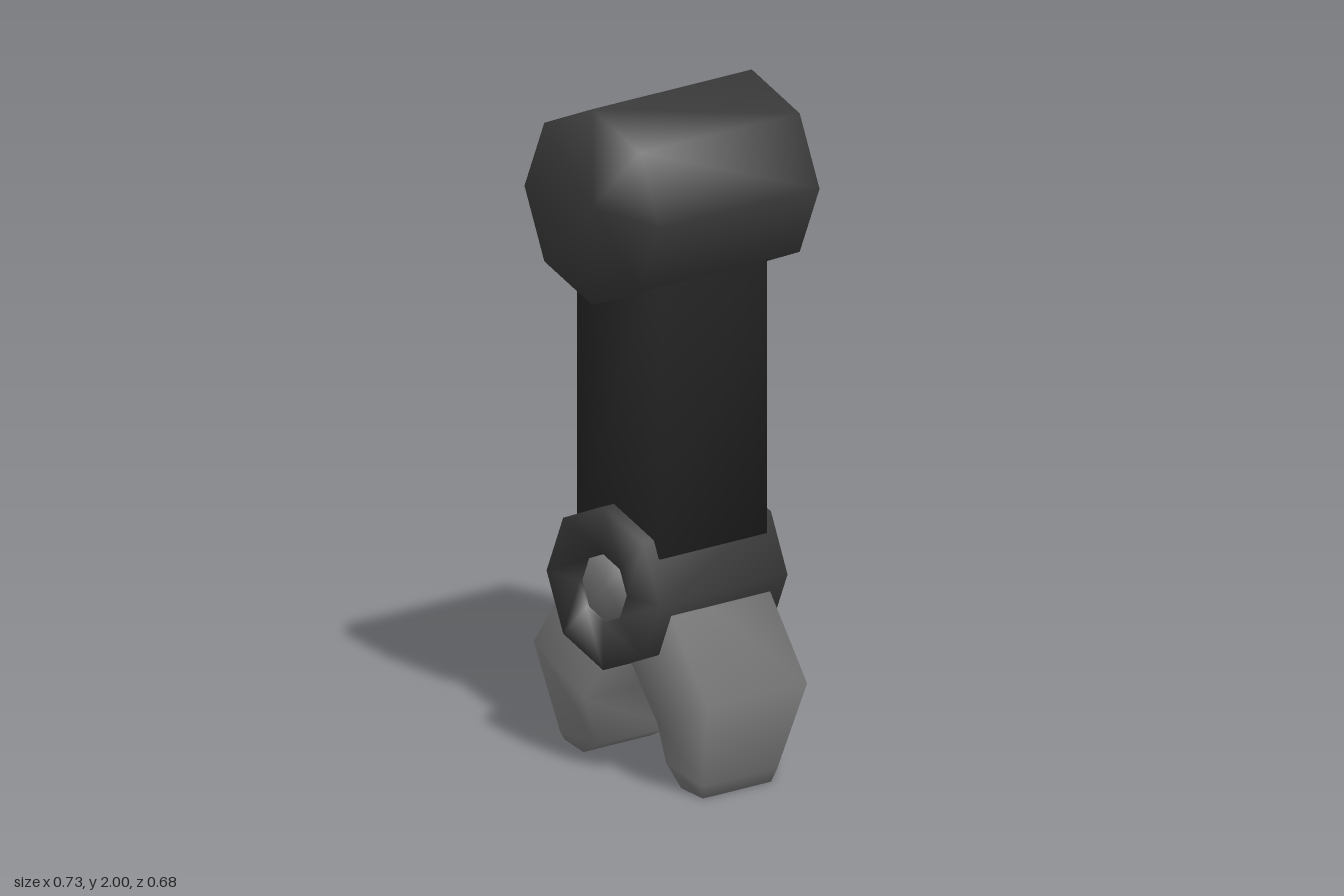
import * as THREE from 'three';
import { mergeVertices } from 'three/addons/utils/BufferGeometryUtils.js';

const paint = (color) => new THREE.MeshStandardMaterial({ color });
const black = paint(0x222222);
const dark = paint(0x3a3a3a);
const grey = paint(0x777777);

// Weld all corners so shading runs smoothly over the low-poly form
function soften(geometry) {
  geometry.deleteAttribute('uv');
  geometry.deleteAttribute('normal');
  const welded = mergeVertices(geometry, 1e-4);
  welded.computeVertexNormals();
  return welded;
}

// Eight-sided drum lying along z
function drum(radius, z0, z1) {
  const g = new THREE.CylinderGeometry(radius, radius, z1 - z0, 8);
  return soften(g.rotateX(Math.PI / 2).translate(0, 0, (z0 + z1) / 2));
}

// Eight-sided ring lying along z
function ring(outer, inner, z0, z1) {
  const h = (z1 - z0) / 2;
  const profile = [[inner, -h], [outer, -h], [outer, h], [inner, h], [inner, -h]]
    .map(([r, y]) => new THREE.Vector2(r, y));
  const g = new THREE.LatheGeometry(profile, 8);
  return soften(g.rotateX(Math.PI / 2).translate(0, 0, (z0 + z1) / 2));
}

// Finger lofted through sections [outerX, outerY, innerX, innerY, halfDepth]
function finger(sections, side) {
  const pos = [], idx = [];
  for (const [ox, oy, ix, iy, d] of sections) {
    const z = d * side;
    pos.push(ox, oy, z, ox, oy, -z, ix, iy, -z, ix, iy, z);
  }
  const last = (sections.length - 1) * 4;
  for (let s = 0; s < last; s += 4) {
    for (let k = 0; k < 4; k++) {
      const a = s + k, b = s + (k + 1) % 4;
      idx.push(a, a + 4, b + 4, a, b + 4, b);
    }
  }
  idx.push(0, 1, 2, 0, 2, 3);
  idx.push(last, last + 2, last + 1, last, last + 3, last + 2);
  const g = new THREE.BufferGeometry();
  g.setAttribute('position', new THREE.Float32BufferAttribute(pos, 3));
  g.setIndex(idx);
  g.computeVertexNormals();
  return g;
}

export function createModel() {
  const model = new THREE.Group();
  model.name = 'gripperArm';

  function add(name, geometry, material, x = 0, y = 0, z = 0) {
    const mesh = new THREE.Mesh(geometry, material);
    mesh.name = name;
    mesh.position.set(x, y, z);
    model.add(mesh);
  }

  // Shoulder drum with the pivot stub on its back
  add('shoulder', drum(0.287, -0.26, 0.34), dark, 0.007, 1.713);
  add('shoulderPivot', drum(0.136, -0.34, -0.24), grey, 0.009, 1.715);

  // Square arm between shoulder and wrist
  add('arm', soften(new THREE.BoxGeometry(0.355, 0.9, 0.4)), black, 0.007, 1.15, 0.04);

  // Wrist ring and the pin through it
  add('wrist', ring(0.24, 0.1, -0.2, 0.28), dark, -0.014, 0.58);
  add('wristPin', drum(0.102, -0.19, 0.27), grey, -0.014, 0.58);

  // Two bent fingers, tapering to the tips
  add('leftFinger', finger([
    [0.10, 0.70, -0.03, 0.455, 0.185],
    [0.363, 0.30, 0.15, 0.21, 0.187],
    [0.29, 0.045, 0.135, 0.08, 0.14],
    [0.277, 0.005, 0.185, 0.015, 0.128],
  ], 1), grey, 0, 0, 0.035);
  add('rightFinger', finger([
    [-0.12, 0.70, 0.02, 0.46, 0.19],
    [-0.367, 0.337, -0.152, 0.215, 0.193],
    [-0.315, 0.075, -0.155, 0.07, 0.14],
    [-0.31, 0.05, -0.23, 0.03, 0.128],
  ], -1), grey, 0, 0, 0.035);

  return model;
}
